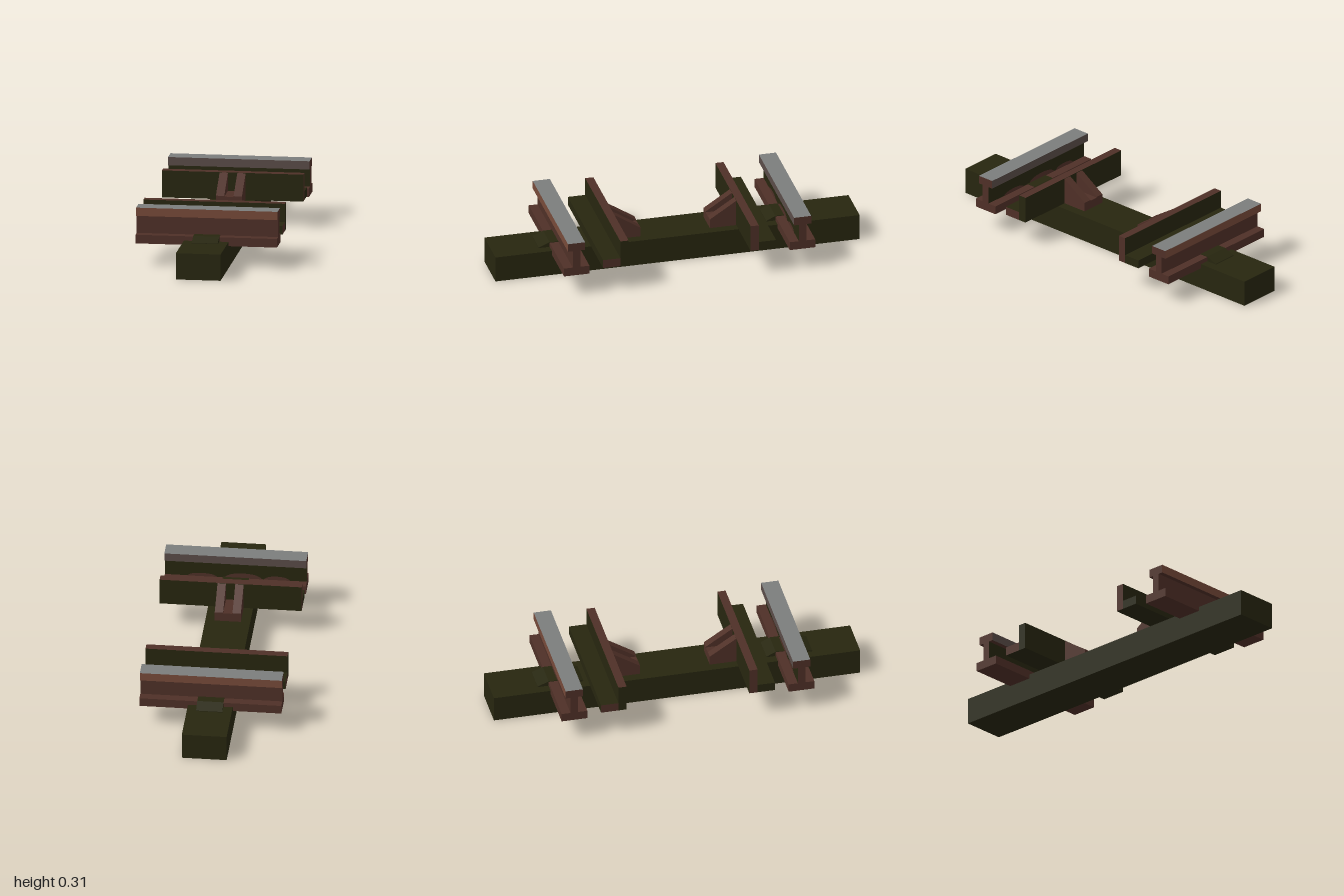
import * as THREE from 'three';

const mat = (name, color) => {
  const m = new THREE.MeshStandardMaterial({ color });
  m.name = name;
  return m;
};

export function createModel() {
  const wood = mat('darkOlive', 0x27260f);
  const rust = mat('rustBrown', 0x4f3027);
  const lightRust = mat('lightRust', 0x774a39);
  const steel = mat('polishedSteel', 0x7b7d7c);
  const worn = mat('wornSteel', 0x5a4c48);

  // box from its limits; an array of materials runs +x, -x, +y, -y, +z, -z
  const box = (name, m, [x0, x1], [y0, y1], [z0, z1]) => {
    const mesh = new THREE.Mesh(new THREE.BoxGeometry(x1 - x0, y1 - y0, z1 - z0), m);
    mesh.position.set((x0 + x1) / 2, (y0 + y1) / 2, (z0 + z1) / 2);
    mesh.name = name;
    return mesh;
  };

  // side profile given as (z, y), extruded along x between x0 and x1
  const profile = (name, m, points, x0, x1) => {
    const shape = new THREE.Shape(points.map(([z, y]) => new THREE.Vector2(-z, y)));
    const geo = new THREE.ExtrudeGeometry(shape, { depth: x1 - x0, bevelEnabled: false });
    geo.rotateY(Math.PI / 2).translate(x0, 0, 0);
    const mesh = new THREE.Mesh(geo, m);
    mesh.name = name;
    return mesh;
  };

  const L = [-0.38, 0.38];

  const buildSide = (name) => {
    const side = new THREE.Group();
    side.name = name;

    // running rail: foot, web and head
    side.add(
      box('railFoot', rust, L, [0.12, 0.167], [0.55, 0.69]),
      box('railWeb', [rust, rust, rust, rust, rust, wood], L, [0.167, 0.265], [0.6, 0.642]),
      box('railHead', [rust, rust, steel, rust, lightRust, worn], L, [0.265, 0.31], [0.574, 0.668])
    );

    // rust patches low on the inner face of the web
    for (const [x, w, h] of [[-0.04, 0.1, 0.03], [-0.22, 0.07, 0.022], [0.18, 0.08, 0.02]]) {
      const s = new THREE.Shape();
      s.moveTo(-w, 0);
      s.lineTo(w, 0);
      s.quadraticCurveTo(w * 0.8, h, 0, h);
      s.quadraticCurveTo(-w * 0.8, h, -w, 0);
      const patch = new THREE.Mesh(new THREE.ShapeGeometry(s), rust);
      patch.rotation.y = Math.PI;
      patch.position.set(x, 0.167, 0.598);
      patch.name = 'rustPatch';
      side.add(patch);
    }

    // fastening plate with sloping ends over the rail foot
    side.add(profile('fasteningPlate', wood,
      [[0.75, 0.14], [0.5, 0.14], [0.5, 0.146], [0.55, 0.17], [0.69, 0.17], [0.75, 0.146]].reverse(),
      -0.07, 0.07));

    // guard rail: angle section with a foot towards the running rail
    side.add(
      box('guardRailWall', [wood, rust, rust, wood, wood, wood], L, [0.143, 0.29], [0.335, 0.38]),
      box('guardRailFoot', [rust, wood, wood, wood, wood, wood], L, [0.143, 0.19], [0.38, 0.475])
    );

    // bracket: base block and two sloping ribs
    side.add(box('bracketBase', rust, [-0.07, 0.07], [0.143, 0.19], [0.19, 0.335]));
    for (const x of [-0.07, 0.025]) {
      side.add(profile('bracketRib', rust, [[0.335, 0.19], [0.19, 0.19], [0.19, 0.194], [0.335, 0.288]].reverse(), x, x + 0.045));
    }
    return side;
  };

  const model = new THREE.Group();
  model.name = 'trackSection';
  model.add(box('sleeper', wood, [-0.12, 0.12], [0, 0.143], [-1, 1]));

  // the two halves are half a turn apart
  const front = buildSide('frontRailSet');
  const back = buildSide('backRailSet');
  back.rotation.y = Math.PI;
  model.add(front, back);
  return model;
}
